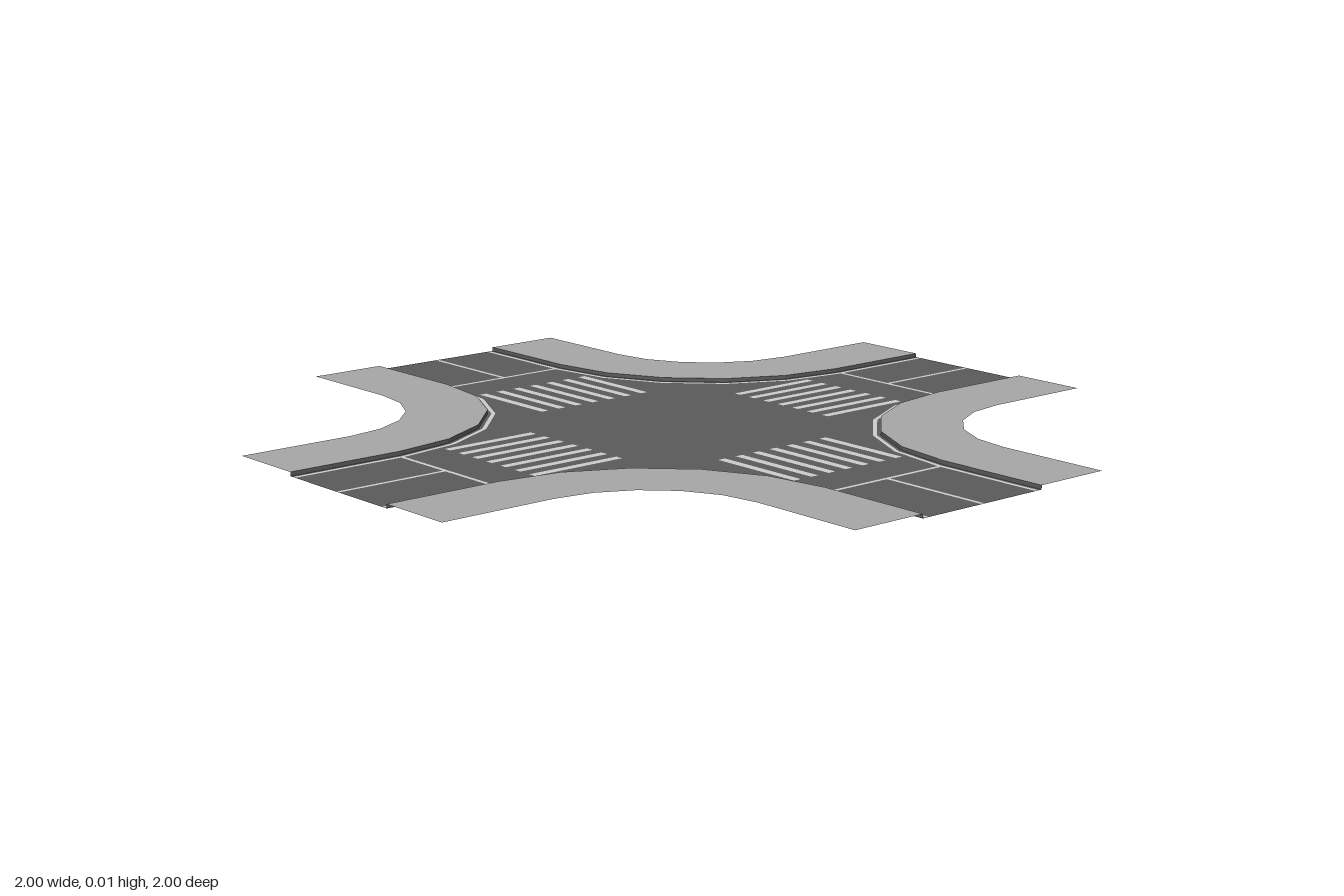
import * as THREE from 'three';

const ROAD = 0x5a5a5a, WALK = 0xa6a6a6, PAINT = 0xcccccc;
const CORNER = 0.7;      // arc centre of each street corner, in x and z
const WALK_Y = 0.01;     // pavement height above the road
const EDGE = 0.168, GUTTER = 0.178, CURB = 0.187, OUTER = 0.388; // offsets from the road axis

const material = (color) =>
  new THREE.MeshStandardMaterial({ color, side: THREE.DoubleSide, flatShading: true });
const roadMat = material(ROAD), walkMat = material(WALK), paintMat = material(PAINT);

const V = (x, y) => new THREE.Vector2(x, y);

// Five-sided quarter arc around a street corner, at a given offset from the axis
function arc(offset) {
  const r = CORNER - offset, pts = [];
  for (let i = 0; i <= 5; i++) {
    const a = (i / 5) * Math.PI / 2;
    pts.push(V(CORNER - r * Math.cos(a), CORNER - r * Math.sin(a)));
  }
  return pts;
}

// The arc extended straight to the ends of both streets
const kerbLine = (offset) => [V(offset, 1), ...arc(offset), V(1, offset)];

const rect = (x0, y0, x1, y1) => [V(x0, y0), V(x1, y0), V(x1, y1), V(x0, y1)];

const turn = (pts, k) => pts.map((p) => p.clone().rotateAround(V(0, 0), k * Math.PI / 2));

// Flat sheet lying in the ground plane
function sheet(name, points, mat, y = 0, holes = []) {
  const shape = new THREE.Shape(points);
  shape.holes = holes.map((h) => new THREE.Path(h));
  const geo = new THREE.ShapeGeometry(shape).rotateX(-Math.PI / 2).translate(0, y, 0);
  const mesh = new THREE.Mesh(geo, mat);
  mesh.name = name;
  return mesh;
}

const band = (name, a, b, mat, y) =>
  sheet(name, [...kerbLine(a), ...kerbLine(b).reverse()], mat, y);

// Vertical kerb face between road and pavement
function kerbFace() {
  const pts = kerbLine(CURB), pos = [], index = [];
  pts.forEach((p, i) => {
    pos.push(p.x, 0, -p.y, p.x, WALK_Y, -p.y);
    if (i) {
      const a = 2 * i - 2;
      index.push(a, a + 1, a + 2, a + 1, a + 3, a + 2);
    }
  });
  const geo = new THREE.BufferGeometry();
  geo.setAttribute('position', new THREE.Float32BufferAttribute(pos, 3));
  geo.setIndex(index);
  geo.computeVertexNormals();
  const mesh = new THREE.Mesh(geo, roadMat);
  mesh.name = 'kerbFace';
  return mesh;
}

export function createModel() {
  const model = new THREE.Group();
  model.name = 'crossroads';

  // Zebra stripes of one crossing
  const stripes = [];
  for (let i = -3; i <= 3; i++) {
    const x = i * 0.0535;
    stripes.push(rect(x - 0.0105, 0.328, x + 0.0105, 0.583));
  }

  // Central junction, with the stripes inlaid flush
  const outline = [], holes = [];
  for (let k = 0; k < 4; k++) {
    outline.push(...turn(arc(EDGE).reverse(), k));
    holes.push(...stripes.map((s) => turn(s, k)));
  }
  model.add(sheet('junctionRoad', outline, roadMat, 0, holes));

  // One street arm and one corner, repeated on all four sides
  for (let k = 0; k < 4; k++) {
    const arm = new THREE.Group();
    arm.name = `street${k + 1}`;
    stripes.forEach((s) => arm.add(sheet('crossingStripe', s, paintMat)));
    arm.add(
      sheet('stopLine', rect(-EDGE, 0.7, EDGE, 0.71), paintMat),
      sheet('centreLine', rect(-0.005, 0.71, 0.005, 1), paintMat),
      sheet('leftLane', rect(-EDGE, 0.71, -0.005, 1), roadMat),
      sheet('rightLane', rect(0.005, 0.71, EDGE, 1), roadMat),
      band('edgeLine', EDGE, GUTTER, paintMat, 0),
      band('gutter', GUTTER, CURB, roadMat, 0),
      kerbFace(),
      band('pavement', CURB, OUTER, walkMat, WALK_Y),
    );
    arm.rotation.y = k * Math.PI / 2;
    model.add(arm);
  }
  return model;
}
